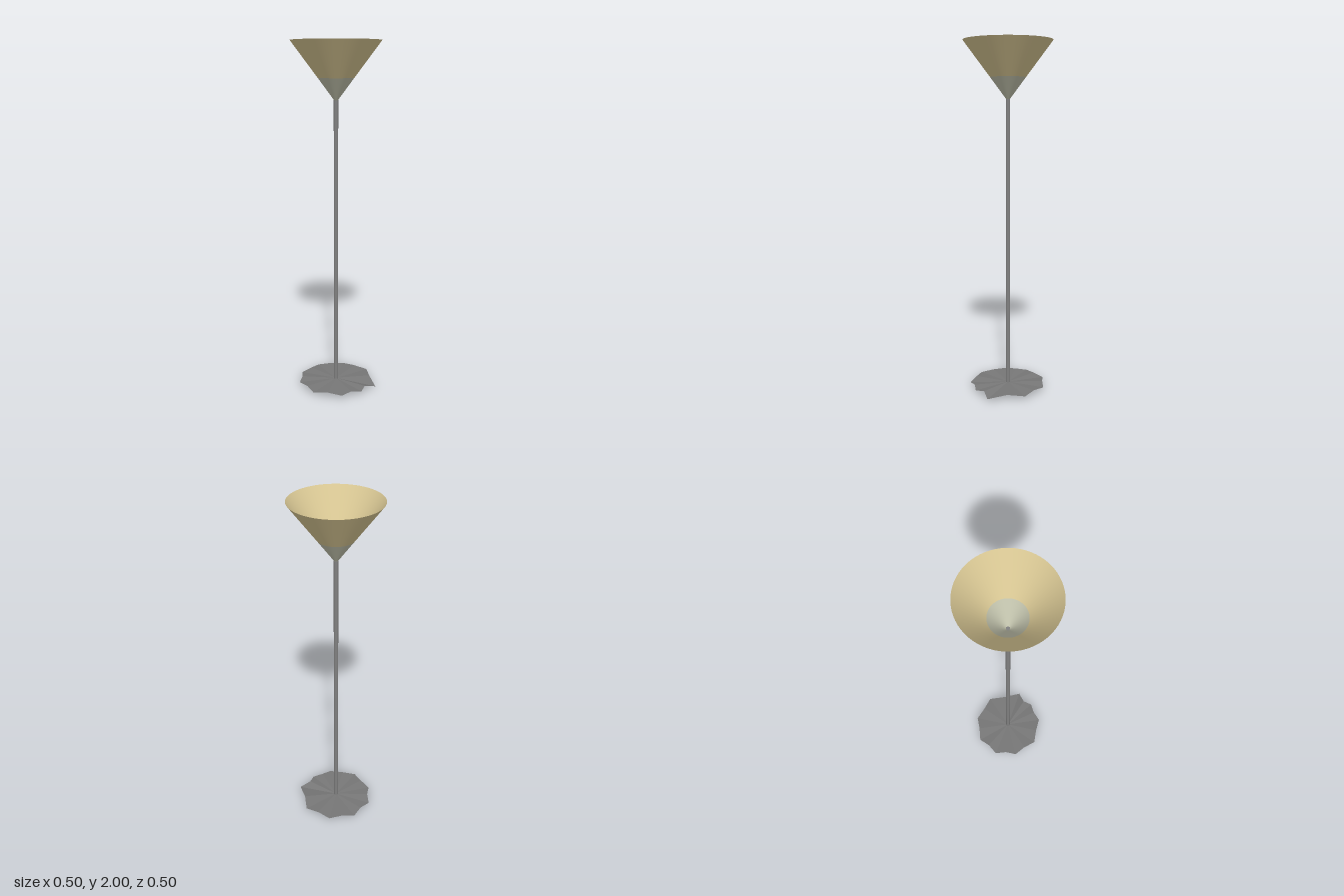
import * as THREE from 'three';

const material = (color, extra = {}) => new THREE.MeshStandardMaterial({ color, ...extra });

function addMesh(group, name, geometry, mat) {
  const mesh = new THREE.Mesh(geometry, mat);
  mesh.name = name;
  group.add(mesh);
}

// Thin open cone band between two [radius, height] points
const coneBand = (low, high) =>
  new THREE.LatheGeometry([new THREE.Vector2(...low), new THREE.Vector2(...high)], 64);

// Thin sheet with drooping points around a ragged rim
function raggedSheet() {
  // Each tip: angle in degrees from +z towards +x, radius, height
  const tips = [
    [-38, 0.225, 0.022], [6, 0.222, 0.021], [39, 0.222, 0.021],
    [68, 0.247, 0.01], [121, 0.228, 0.022], [165, 0.22, 0.022],
    [207, 0.224, 0.021], [245, 0.225, 0.022], [281, 0.222, 0.023],
  ];
  const rim = [];
  const addPoint = (deg, r, y) => {
    const a = THREE.MathUtils.degToRad(deg);
    rim.push([r * Math.sin(a), y, r * Math.cos(a)]);
  };
  tips.forEach(([deg, r, y], i) => {
    const next = i + 1 < tips.length ? tips[i + 1][0] : tips[0][0] + 360;
    addPoint(deg, r, y);
    addPoint((deg + next) / 2, 0.203, 0.029);
  });
  const positions = [];
  rim.forEach((p, i) => positions.push(0, 0.025, 0, ...p, ...rim[(i + 1) % rim.length]));
  const geometry = new THREE.BufferGeometry();
  geometry.setAttribute('position', new THREE.Float32BufferAttribute(positions, 3));
  geometry.computeVertexNormals();
  return geometry;
}

export function createModel() {
  const group = new THREE.Group();
  group.name = 'floorLamp';

  // Base sheet
  addMesh(group, 'base', raggedSheet(), material(0x777777, { side: THREE.DoubleSide, flatShading: true }));

  // Pole, running through the base to the ground
  const pole = new THREE.CylinderGeometry(0.0125, 0.0125, 1.68, 24);
  pole.translate(0, 0.84, 0);
  addMesh(group, 'pole', pole, material(0x808080));

  // Conical shade: pale lower section and warm upper section
  const thin = { side: THREE.DoubleSide };
  addMesh(group, 'lowerShade', coneBand([0.001, 1.667], [0.1, 1.8]), material(0xbfc0aa, thin));
  addMesh(group, 'upperShade', coneBand([0.1, 1.8], [0.25, 2]), material(0xd6c592, thin));

  return group;
}
